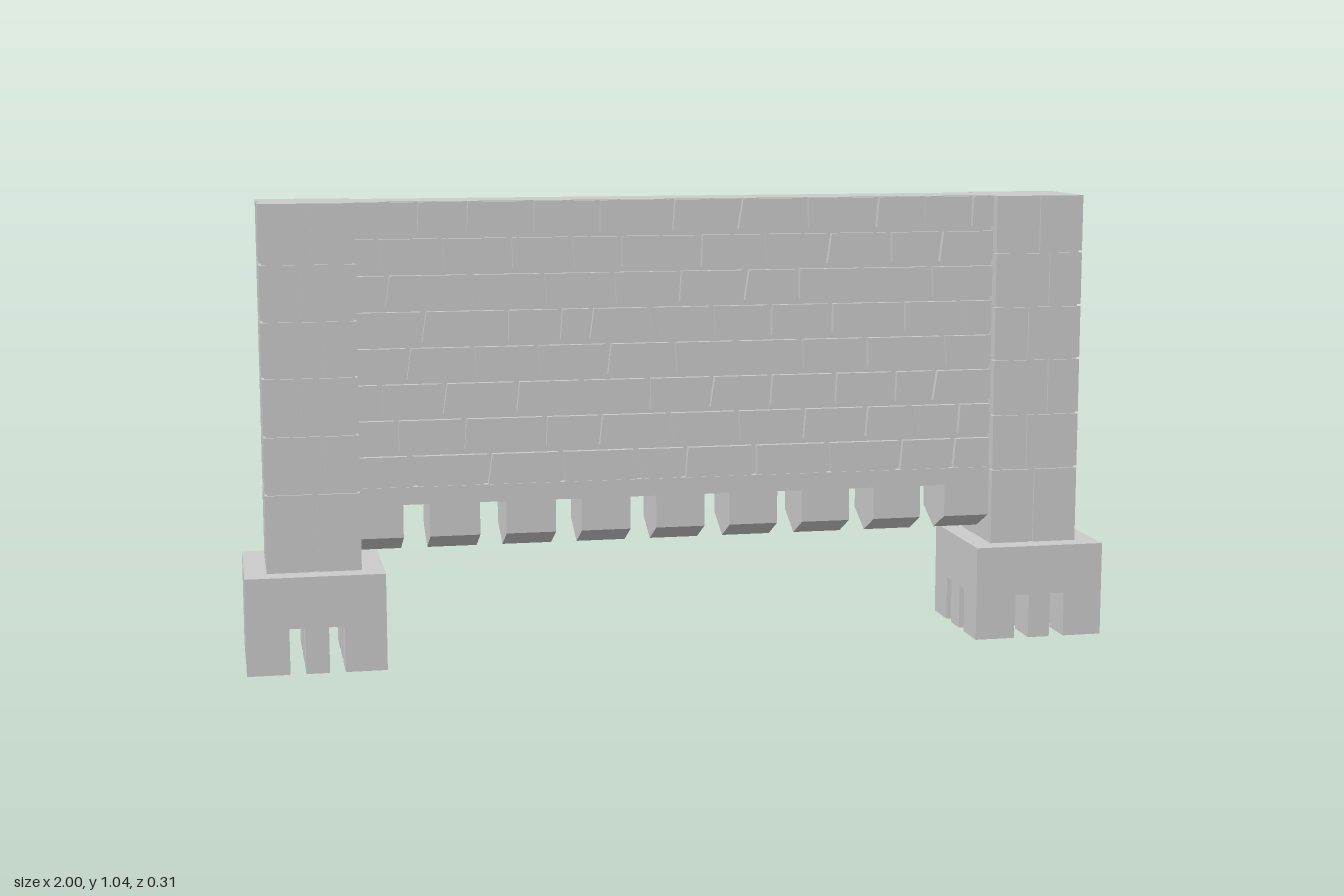
import * as THREE from 'three';

const material = new THREE.MeshStandardMaterial({ color: 0xcccccc, flatShading: true });

function add(parent, name, geometry) {
  const mesh = new THREE.Mesh(geometry, material);
  mesh.name = name;
  parent.add(mesh);
  return mesh;
}

// Box given by its limits on each axis
function box(x0, x1, y0, y1, z0, z1) {
  return new THREE.BoxGeometry(Math.abs(x1 - x0), y1 - y0, z1 - z0)
    .translate((x0 + x1) / 2, (y0 + y1) / 2, (z0 + z1) / 2);
}

function extrude(points, depth) {
  const shape = new THREE.Shape(points.map(([x, y]) => new THREE.Vector2(x, y)));
  return new THREE.ExtrudeGeometry(shape, { depth, bevelEnabled: false });
}

// Small seeded generator for the uneven brick ends
let seed = 7;
function jitter(amount) {
  seed = (seed * 16807) % 2147483647;
  return (seed / 2147483647 - 0.5) * 2 * amount;
}

// Pillar courses: bottom, top, centre of the upright joint on the outer face
const COURSES = [
  [0.22, 0.395, 0.005], [0.4, 0.525, 0.028], [0.53, 0.655, -0.027],
  [0.66, 0.78, 0.03], [0.785, 0.906, -0.025], [0.911, 1.04, 0.004],
];

// Upright joints of the wall bricks, lowest row first
const WALL_JOINTS = [
  [-0.62, -0.45, -0.28, -0.105, 0.005, 0.17, 0.347, 0.52, 0.65],
  [-0.655, -0.505, -0.32, -0.195, -0.03, 0.13, 0.285, 0.435, 0.55, 0.66],
  [-0.69, -0.55, -0.385, -0.23, -0.08, 0.065, 0.205, 0.36, 0.505, 0.6],
  [-0.63, -0.48, -0.335, -0.175, -0.02, 0.13, 0.28, 0.435, 0.625],
  [-0.595, -0.405, -0.285, -0.215, -0.07, 0.07, 0.205, 0.35, 0.525, 0.665],
  [-0.675, -0.48, -0.32, -0.16, -0.01, 0.145, 0.27, 0.43, 0.59],
  [-0.69, -0.55, -0.395, -0.255, -0.145, 0.04, 0.19, 0.34, 0.49, 0.61],
  [-0.605, -0.495, -0.345, -0.195, -0.025, 0.13, 0.29, 0.455, 0.57, 0.685],
];

function createPillar(side) {
  const pillar = new THREE.Group();
  pillar.name = side > 0 ? 'leftPillar' : 'rightPillar';
  const cx = 0.845 * side;

  // Base block on a grid of nine feet
  add(pillar, 'baseBlock', box(cx - 0.155, cx + 0.155, 0.104, 0.22, -0.155, 0.155));
  const xFeet = [[-0.155, -0.06], [-0.025, 0.027], [0.062, 0.155]];
  const zFeet = [[-0.155, -0.064], [-0.03, 0.032], [0.066, 0.155]];
  for (const [x0, x1] of xFeet)
    for (const [z0, z1] of zFeet)
      add(pillar, 'baseFoot', box(cx + x0, cx + x1, 0, 0.104, z0, z1));

  // Core showing at the bottom of the joints
  const w = 0.105, groove = 0.006, half = 0.005;
  add(pillar, 'pillarCore', box(cx - w + groove, cx + w - groove, 0.22, 1.035, -w + groove, w - groove));

  // Each course is a plan outline with a joint in its front and outer faces
  for (const [y0, y1, joint] of COURSES) {
    const f = -joint * 0.9;
    const plan = [
      [-w, -w], [w, -w],
      [w, joint - half], [w - groove, joint - half], [w - groove, joint + half], [w, joint + half],
      [w, w],
      [f + half, w], [f + half, w - groove], [f - half, w - groove], [f - half, w],
      [-w, w],
    ].map(([x, z]) => [cx + x * side, -z]);
    add(pillar, 'pillarCourse', extrude(plan, y1 - y0).rotateX(-Math.PI / 2).translate(0, y0, 0));
  }
  return pillar;
}

function createWall() {
  const wall = new THREE.Group();
  wall.name = 'wall';
  add(wall, 'wallPanel', box(-0.75, 0.75, 0.39, 1.04, -0.07, 0.063));

  // Raised bricks with slightly slanted ends
  const pitch = 0.0814, gap = 0.006;
  WALL_JOINTS.forEach((joints, row) => {
    const y0 = 0.4 + row * pitch, y1 = y0 + 0.069;
    const ends = [-0.75, ...joints, 0.75].map((x) => {
      const slant = Math.abs(x) < 0.75 ? jitter(0.006) : 0;
      return [x - slant, x + slant];
    });
    for (let i = 0; i < ends.length - 1; i++) {
      const [a, b] = [ends[i], ends[i + 1]];
      const face = [[a[0] + gap, y0], [b[0] - gap, y0], [b[1] - gap, y1], [a[1] + gap, y1]];
      add(wall, 'wallBrick', extrude(face, 0.018).translate(0, 0, 0.06));
    }
  });
  return wall;
}

function createFooting() {
  const footing = new THREE.Group();
  footing.name = 'wallFooting';
  add(footing, 'footingBeam', box(-0.75, 0.75, 0.36, 0.4, -0.08, 0.08));

  // Teeth with a V-shaped underside, separated by slots
  const profile = [[-0.08, 0.36], [-0.08, 0.285], [0, 0.245], [0.08, 0.285], [0.08, 0.36]];
  let start = -0.75;
  for (let i = 0; i <= 8; i++) {
    const slot = -0.613 + i * 0.1735;
    const end = i < 8 ? slot - 0.03 : 0.75;
    const tooth = extrude(profile.map(([z, y]) => [-z, y]), end - start);
    add(footing, 'footingTooth', tooth.rotateY(Math.PI / 2).translate(start, 0, 0));
    start = slot + 0.03;
  }
  return footing;
}

export function createModel() {
  seed = 7;
  const model = new THREE.Group();
  model.name = 'brickWallSection';
  model.add(createPillar(1), createPillar(-1), createWall(), createFooting());
  return model;
}
